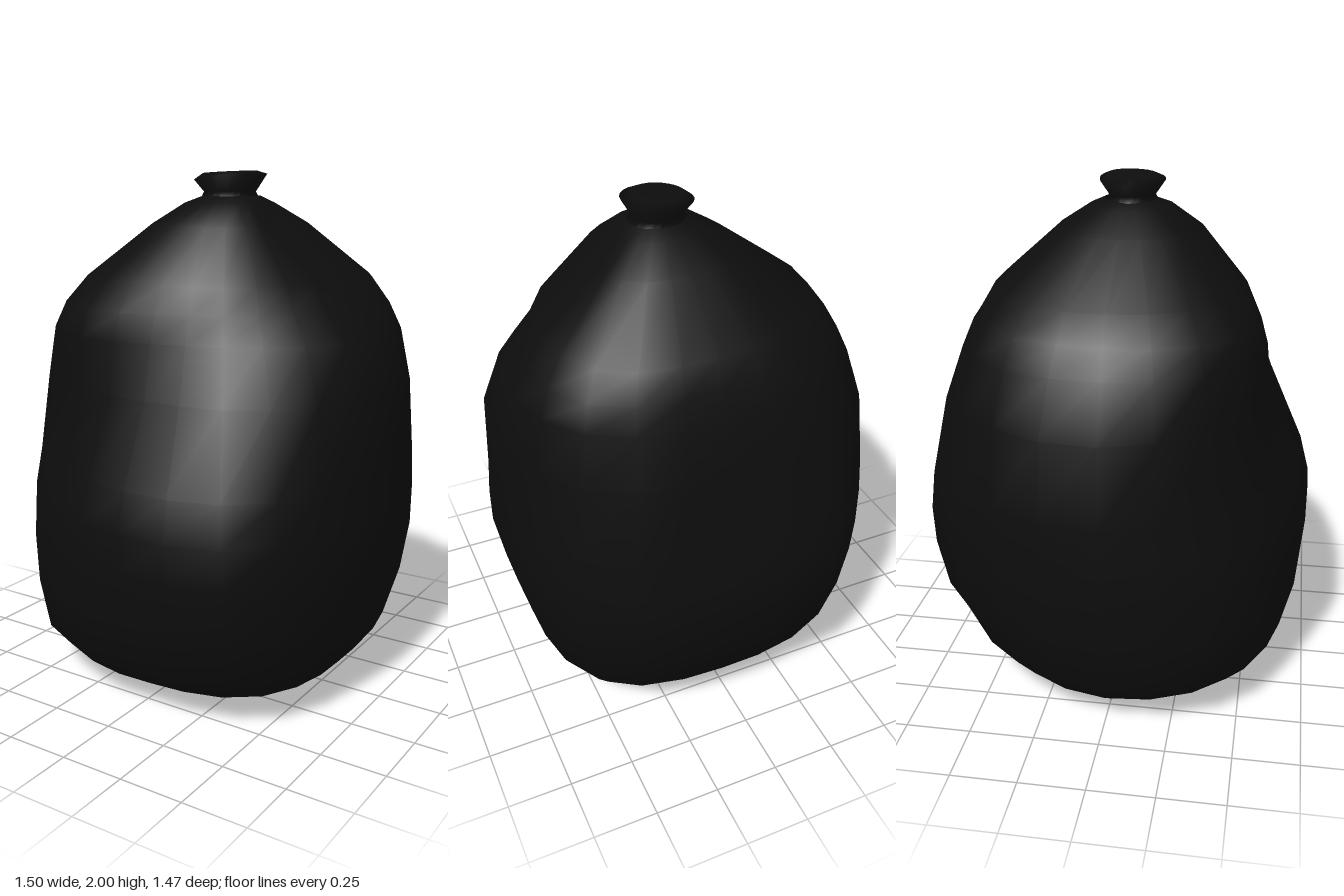
import * as THREE from 'three';

const SEGMENTS = 24;
const CENTRE_X = 0.05;

// Upright creases of the belly: angle in degrees, relative depth.
const CREASES = [[30, -0.035], [67, 0.035], [120, -0.05], [205, -0.02], [240, 0.055], [300, 0.02]];
const creaseAt = (deg) => CREASES.reduce((sum, [at, depth]) => sum + depth * Math.exp(-(((deg - at) / 12) ** 2)), 0);

// Smooth closed interpolation through evenly spaced radii.
function radiusAt(radii, t) {
  const i = Math.floor(t), f = t - i, n = radii.length;
  const at = (k) => radii[(k + n) % n];
  const [a, b, c, d] = [at(i - 1), at(i), at(i + 1), at(i + 2)];
  return b + 0.5 * f * (c - a + f * (2 * a - 5 * b + 4 * c - d + f * (3 * (b - c) + d - a)));
}

// Skins rings listed from the bottom up, closing the top or bottom with a fan.
function skin(rings, capY, capTop) {
  const pos = [], index = [];
  for (const { y, radii, tilt = 0, crease = 0 } of rings) {
    for (let s = 0; s < SEGMENTS; s++) {
      const turn = s / SEGMENTS, a = turn * Math.PI * 2;
      const r = radiusAt(radii, turn * radii.length) * (1 + crease * creaseAt(turn * 360));
      const x = r * Math.cos(a);
      pos.push(CENTRE_X + x, y + tilt * x, r * Math.sin(a));
    }
  }
  const centre = pos.length / 3;
  pos.push(CENTRE_X, capY, 0);
  const first = capTop ? (rings.length - 1) * SEGMENTS : 0;
  for (let s = 0; s < SEGMENTS; s++) {
    const n = (s + 1) % SEGMENTS;
    for (let k = 0; k < rings.length - 1; k++) {
      const a = k * SEGMENTS + s, b = k * SEGMENTS + n;
      const c = a + SEGMENTS, d = b + SEGMENTS;
      index.push(a, c, b, b, c, d);
    }
    if (capTop) index.push(centre, first + n, first + s);
    else index.push(centre, first + s, first + n);
  }
  const geo = new THREE.BufferGeometry();
  geo.setAttribute('position', new THREE.Float32BufferAttribute(pos, 3));
  geo.setIndex(index);
  geo.computeVertexNormals();
  return geo;
}

export function createModel() {
  const group = new THREE.Group();
  group.name = 'tiedSack';
  const material = new THREE.MeshStandardMaterial({ color: 0x0d0d0d, side: THREE.DoubleSide });

  // Lumpy body: height, then radii at left, front-left, front, front-right,
  // right, back-right, back, back-left.
  const bodyRings = [
    [0.05, 0.39, 0.42, 0.38, 0.45, 0.45, 0.43, 0.36, 0.43],
    [0.10, 0.52, 0.58, 0.55, 0.64, 0.65, 0.59, 0.49, 0.59],
    [0.20, 0.60, 0.69, 0.65, 0.74, 0.74, 0.69, 0.62, 0.67],
    [0.40, 0.65, 0.75, 0.71, 0.78, 0.78, 0.78, 0.70, 0.74],
    [0.60, 0.69, 0.78, 0.73, 0.79, 0.80, 0.81, 0.735, 0.77],
    [0.75, 0.695, 0.77, 0.73, 0.78, 0.80, 0.82, 0.73, 0.77],
    [0.90, 0.69, 0.74, 0.69, 0.74, 0.80, 0.82, 0.69, 0.76],
    [1.20, 0.70, 0.65, 0.56, 0.68, 0.78, 0.77, 0.66, 0.72],
    [1.40, 0.64, 0.54, 0.52, 0.67, 0.69, 0.71, 0.60, 0.68],
    [1.50, 0.55, 0.48, 0.49, 0.63, 0.63, 0.66, 0.56, 0.65],
    [1.60, 0.48, 0.44, 0.45, 0.54, 0.56, 0.57, 0.51, 0.58],
    [1.80, 0.22, 0.27, 0.28, 0.30, 0.28, 0.31, 0.28, 0.32],
    [1.88, 0.16, 0.17, 0.16, 0.17, 0.15, 0.17, 0.16, 0.18],
    [1.905, 0.12, 0.10, 0.10, 0.10, 0.09, 0.10, 0.10, 0.12],
  ].map(([y, ...radii]) => ({ y, radii, crease: Math.sin(Math.PI * Math.min(1, y / 1.4)) }));
  const body = new THREE.Mesh(skin(bodyRings, 0, false), material);
  body.name = 'sackBody';
  group.add(body);

  // Gathered neck flaring into a slightly tilted, dished end:
  // height, radius, tilt.
  const lobes = [1.05, 1, 0.98, 0.98, 1, 0.92, 0.9, 1.1];
  const neckRings = [
    [1.89, 0.11, 0], [1.92, 0.095, 0], [1.975, 0.134, 0.09], [1.993, 0.1, 0.05],
  ].map(([y, r, tilt]) => ({ y, tilt, radii: lobes.map((l) => l * r) }));
  const neck = new THREE.Mesh(skin(neckRings, 1.985, true), material);
  neck.name = 'gatheredNeck';
  group.add(neck);

  return group;
}
